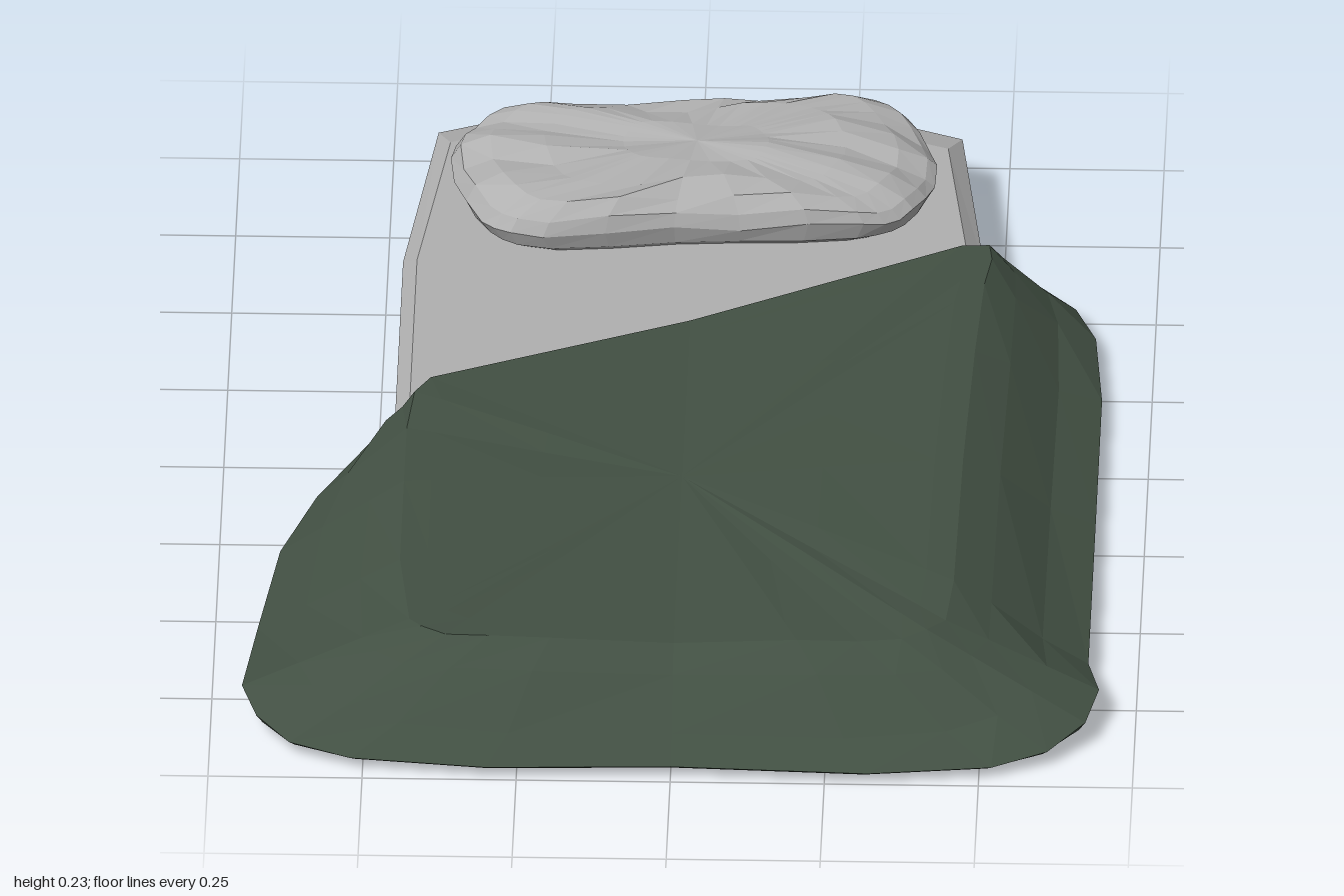
import * as THREE from 'three';

const linen = new THREE.MeshStandardMaterial({ color: 0xb0b0b0 });
linen.name = 'grey linen';
const wool = new THREE.MeshStandardMaterial({ color: 0x425043, side: THREE.DoubleSide });
wool.name = 'dark green wool';

// Joins closed rings of points (bottom to top, anticlockwise from above) into a faceted skin
function loft(rings, capStart, capEnd) {
  const pos = [];
  const tri = (...pts) => pts.forEach((p) => pos.push(...p));
  for (let r = 0; r < rings.length - 1; r++) {
    const a = rings[r], b = rings[r + 1], n = a.length;
    for (let i = 0; i < n; i++) {
      const j = (i + 1) % n;
      tri(a[i], a[j], b[j]);
      tri(a[i], b[j], b[i]);
    }
  }
  const first = rings[0], last = rings[rings.length - 1], n = first.length;
  for (let i = 0; i < n; i++) {
    const j = (i + 1) % n;
    if (capStart) tri(capStart, first[j], first[i]);
    if (capEnd) tri(capEnd, last[i], last[j]);
  }
  const g = new THREE.BufferGeometry();
  g.setAttribute('position', new THREE.Float32BufferAttribute(pos, 3));
  g.computeVertexNormals();
  return g;
}

function part(name, geometry, material) {
  const m = new THREE.Mesh(geometry, material);
  m.name = name;
  return m;
}

// Flat mattress with cut corners at the head and bevelled edges
function mattress() {
  const half = [[0.472, -0.5], [0.425, -0.92], [0.24, -1]];
  const foot = [[0.24, 0.78], [0.45, 0.745], [0.472, 0.4]];
  const mirror = (list) => list.map(([x, z]) => [-x, z]).reverse();
  const outline = [...half, ...mirror(half), ...mirror(foot), ...foot];
  const ring = (y, sx, sz) => outline.map(([x, z]) => [x * sx, y, -0.1 + (z + 0.1) * sz]);
  const rings = [ring(0, 0.92, 0.92), ring(0.03, 1, 1), ring(0.1, 1, 1), ring(0.125, 0.95, 0.91)];
  return part('mattress', loft(rings, [0, 0, -0.1], [0, 0.125, -0.1]), linen);
}

// Pillow with slanting creases
function pillow() {
  const outline = [
    [-0.4, -0.72], [-0.35, -0.54], [-0.28, -0.485], [0, -0.51], [0.28, -0.53], [0.35, -0.57],
    [0.39, -0.69], [0.35, -0.84], [0.29, -0.905], [0.18, -0.9], [0, -0.87], [-0.28, -0.86], [-0.36, -0.82],
  ].map(([x, z]) => new THREE.Vector3(x, 0, z));
  const pts = new THREE.CatmullRomCurve3(outline, true).getPoints(36).slice(0, -1);
  const levels = [[0.118, 0.86], [0.135, 0.96], [0.165, 1], [0.19, 0.96], [0.208, 0.84], [0.217, 0.62], [0.219, 0.3]];
  const rings = levels.map(([y, s], k) => pts.map((p) => {
    const x = p.x * s, z = -0.7 + (p.z + 0.7) * s;
    const crease = k < 2 ? 0 : Math.sin((z - 0.42 * x) * 50 + x * 3) * 0.007;
    const droop = k < 3 ? 0 : 0.08 * Math.max(0, x) ** 2;
    return [x, y + crease - droop, z];
  }));
  return part('pillow', loft(rings, [0, 0.118, -0.7], [0, 0.219, -0.7]), linen);
}

// Thick blanket folded back on a slant and spreading over the sides and foot
function blanket() {
  // hem x, hem z, hem y, shoulder x, shoulder z, sag of the slope
  const stations = [
    [-0.42, -0.045, 0.12, -0.415, -0.04, 0],
    [-0.51, 0.04, 0.075, -0.44, 0.01, -0.1],
    [-0.595, 0.18, 0.05, -0.45, 0.12, 0],
    [-0.65, 0.33, 0.035, -0.45, 0.3, 0],
    [-0.68, 0.58, 0.035, -0.45, 0.55, 0],
    [-0.70, 0.80, 0.055, -0.43, 0.74, 0],
    [-0.675, 0.87, 0.04, -0.41, 0.77, 0],
    [-0.62, 0.93, 0.025, -0.37, 0.785, 0.03],
    [-0.52, 0.97, 0.02, -0.3, 0.79, 0.1],
    [-0.3, 0.995, 0.02, -0.2, 0.79, 0.15],
    [0, 0.985, 0.02, 0, 0.785, 0.15],
    [0.32, 1, 0.02, 0.2, 0.79, 0.15],
    [0.52, 0.975, 0.02, 0.3, 0.79, 0.1],
    [0.61, 0.93, 0.025, 0.37, 0.785, 0.03],
    [0.67, 0.86, 0.04, 0.41, 0.76, 0],
    [0.69, 0.77, 0.05, 0.44, 0.72, 0],
    [0.67, 0.66, 0.035, 0.45, 0.6, 0.05],
    [0.67, 0.2, 0.03, 0.455, 0.2, 0.1],
    [0.67, -0.2, 0.03, 0.465, -0.15, 0.1],
    [0.655, -0.4, 0.03, 0.475, -0.36, 0.05],
    [0.62, -0.495, 0.03, 0.485, -0.45, 0],
    [0.56, -0.535, 0.04, 0.48, -0.49, 0],
    [0.44, -0.49, 0.12, 0.435, -0.485, 0],
    [0, -0.265, 0.12, 0, -0.26, 0],
  ];
  const mid = [0, 0.139, 0.25];
  // the top dips between the two long edges
  const top = (x, i) => 0.139 + 0.012 * Math.min(1, Math.abs(x) / 0.4) + 0.003 * Math.sin(i * 2.4);
  // underside meets the mattress, higher along the sides than at the foot
  const underside = stations.map(([x, z]) => [
    THREE.MathUtils.clamp(x, -0.455, 0.455), z > 0.75 ? 0.035 : 0.06, Math.min(z, 0.745),
  ]);
  const lip = stations.map(([x, z, y]) => [x * 0.985, y * 0.45 + 0.004, z * 0.99]);
  const hem = stations.map(([x, z, y]) => [x, y, z]);
  const slope = (t, sagShare) => stations.map(([x, z, y, sx, sz, sag], i) => [
    sx + (x - sx) * t, THREE.MathUtils.lerp(top(sx, i), y, t + sag * sagShare), sz + (z - sz) * t,
  ]);
  const inner = (s) => stations.map(([, , , sx, sz], i) => [
    sx * s, top(sx * s, i), mid[2] + (sz - mid[2]) * s,
  ]);
  const rings = [underside, lip, hem, slope(0.66, 1), slope(0.28, -0.3), slope(0, 0), inner(0.9), inner(0.5)];
  return part('blanket', loft(rings, null, mid), wool);
}

export function createModel() {
  const model = new THREE.Group();
  model.name = 'bedroll';
  model.add(mattress(), pillow(), blanket());
  return model;
}
